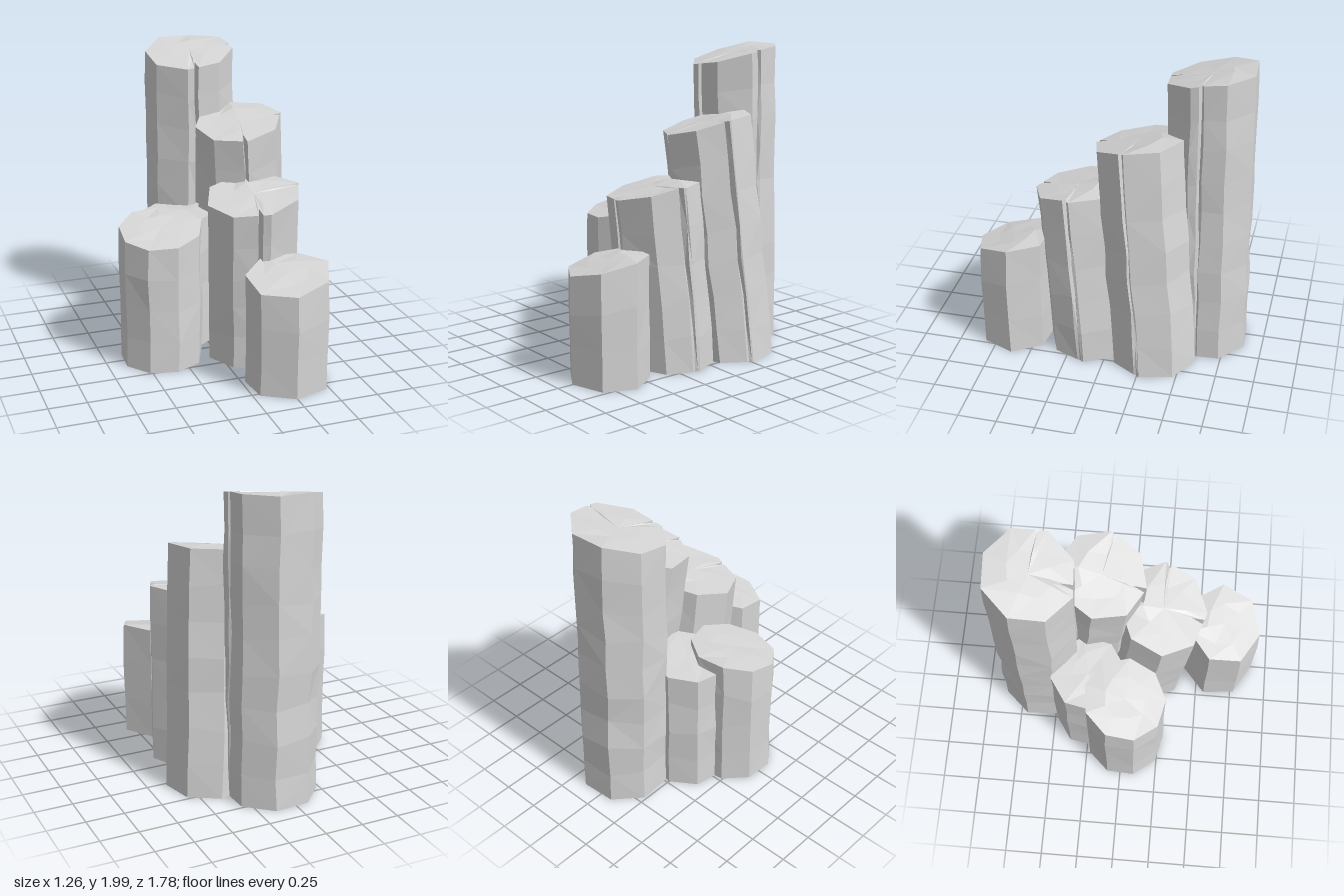
import * as THREE from 'three';

const FLOOR = 0.01;
const LIP = 3; // half width of a crack, in degrees

// Small seeded random in the range -1..1
function seeded(seed) {
  let s = seed;
  return () => {
    s = (s * 16807) % 2147483647;
    return (s / 2147483647) * 2 - 1;
  };
}

// Directions and relative radii of a regular polygon with V-shaped cracks [angle, depth]
// cut in, ordered counter-clockwise from above (angles run from +x toward +z)
function outline(sides, turn, cracks) {
  const step = 360 / sides;
  const corners = Array.from({ length: sides }, (_, k) => (turn + k * step + 360) % 360)
    .filter((a) => cracks.every(([c]) => Math.abs(a - c) > LIP))
    .map((angle) => ({ angle, depth: 0 }));
  const cuts = cracks.flatMap(([angle, depth]) => [
    { angle: angle - LIP, depth: 0 }, { angle, depth }, { angle: angle + LIP, depth: 0 },
  ]);
  return [...corners, ...cuts]
    .sort((p, q) => q.angle - p.angle)
    .map(({ angle, depth }) => {
      const local = ((angle - turn + 720) % step) - step / 2;
      const edge = Math.cos(Math.PI / sides) / Math.cos(THREE.MathUtils.degToRad(local));
      const a = THREE.MathUtils.degToRad(angle);
      return { x: Math.cos(a) * edge, z: Math.sin(a) * edge, depth };
    });
}

// Stacks slightly wavering rings between foot and sloping top, then closes both ends
function columnGeometry({ centre, radius, sides, turn, height, slope, peak, foot, cracks = [] }, seed) {
  const rand = seeded(seed);
  const rim = outline(sides, turn, cracks);
  const n = rim.length;
  const rings = Math.round(height * 4.5);
  const positions = [];
  const index = [];
  const topY = (dx, dz) => Math.min(peak, height + slope[0] * dx + slope[1] * dz);

  for (let r = 0; r <= rings; r++) {
    const t = r / rings;
    const wobble = r > 0 && r < rings ? 0.005 : 0;
    const driftX = wobble * rand();
    const driftZ = wobble * rand();
    for (const p of rim) {
      // Cracks grow shallower toward the foot
      const cut = 1 - p.depth * (0.15 + 0.85 * t);
      const dx = p.x * radius[0] * cut;
      const dz = p.z * radius[1] * cut;
      positions.push(
        centre[0] + dx + foot[0] * (1 - t) + driftX + wobble * rand(),
        THREE.MathUtils.lerp(FLOOR, topY(dx, dz), t) + wobble * 4 * rand(),
        centre[1] + dz + foot[1] * (1 - t) + driftZ + wobble * rand());
    }
  }

  // Uneven inner ring of the cap, then the cap and base centres
  const top = rings * n;
  const inner = top + n;
  for (const p of rim) {
    const k = 0.5 + 0.06 * rand();
    const dx = p.x * radius[0] * k;
    const dz = p.z * radius[1] * k;
    positions.push(centre[0] + dx, topY(dx, dz) + 0.006 * rand(), centre[1] + dz);
  }
  const capCentre = inner + n;
  positions.push(centre[0], height, centre[1]);
  positions.push(centre[0] + foot[0], FLOOR, centre[1] + foot[1]);

  for (let i = 0; i < n; i++) {
    const j = (i + 1) % n;
    // Side walls
    for (let r = 0; r < rings; r++) {
      const a = r * n + i, b = r * n + j, c = a + n, d = b + n;
      if ((r + i) % 2) index.push(a, b, d, a, d, c);
      else index.push(a, b, c, b, d, c);
    }
    // Cap and base
    index.push(top + i, top + j, inner + j, top + i, inner + j, inner + i);
    index.push(capCentre, inner + i, inner + j);
    index.push(capCentre + 1, j, i);
  }

  const geometry = new THREE.BufferGeometry();
  geometry.setAttribute('position', new THREE.Float32BufferAttribute(positions, 3));
  geometry.setIndex(index);
  const faceted = geometry.toNonIndexed();
  faceted.computeVertexNormals();
  return faceted;
}

export function createModel() {
  const group = new THREE.Group();
  group.name = 'basaltColumns';
  const stone = new THREE.MeshStandardMaterial({ color: 0xd6d6d6 });
  stone.name = 'greyStone';

  const addColumn = (name, seed, shape) => {
    const mesh = new THREE.Mesh(columnGeometry(shape, seed), stone);
    mesh.name = name;
    group.add(mesh);
  };

  // Stair of columns from the back to the front
  addColumn('tallBackColumn', 1237, {
    centre: [0.035, -0.585], radius: [0.297, 0.287], sides: 8, turn: 19,
    height: 1.955, slope: [0.12, -0.24], peak: 2, foot: [0.01, -0.025], cracks: [[97, 0.3], [6, 0.1]],
  });
  addColumn('secondColumn', 9151, {
    centre: [0.24, -0.175], radius: [0.288, 0.288], sides: 8, turn: 8,
    height: 1.55, slope: [0.16, -0.23], peak: 1.6, foot: [0.1, -0.13], cracks: [[101, 0.3], [13, 0.14]],
  });
  addColumn('thirdColumn', 17077, {
    centre: [0.2, 0.225], radius: [0.315, 0.287], sides: 8, turn: -2,
    height: 1.165, slope: [0.14, -0.2], peak: 1.2, foot: [0.04, -0.09], cracks: [[100, 0.3], [4, 0.12]],
  });
  addColumn('lowFrontColumn', 24989, {
    centre: [0.28, 0.645], radius: [0.277, 0.25], sides: 7, turn: -5,
    height: 0.765, slope: [0.15, -0.25], peak: 0.8, foot: [0.005, 0],
  });

  // Pair on the left side
  addColumn('leftColumn', 32911, {
    centre: [-0.362, 0.015], radius: [0.275, 0.272], sides: 9, turn: 3,
    height: 0.93, slope: [0.1, -0.22], peak: 0.97, foot: [-0.005, 0],
  });
  addColumn('leftBackColumn', 40829, {
    centre: [-0.2, -0.24], radius: [0.25, 0.25], sides: 8, turn: 33,
    height: 0.915, slope: [0.1, -0.03], peak: 0.95, foot: [0, 0],
  });
  return group;
}
